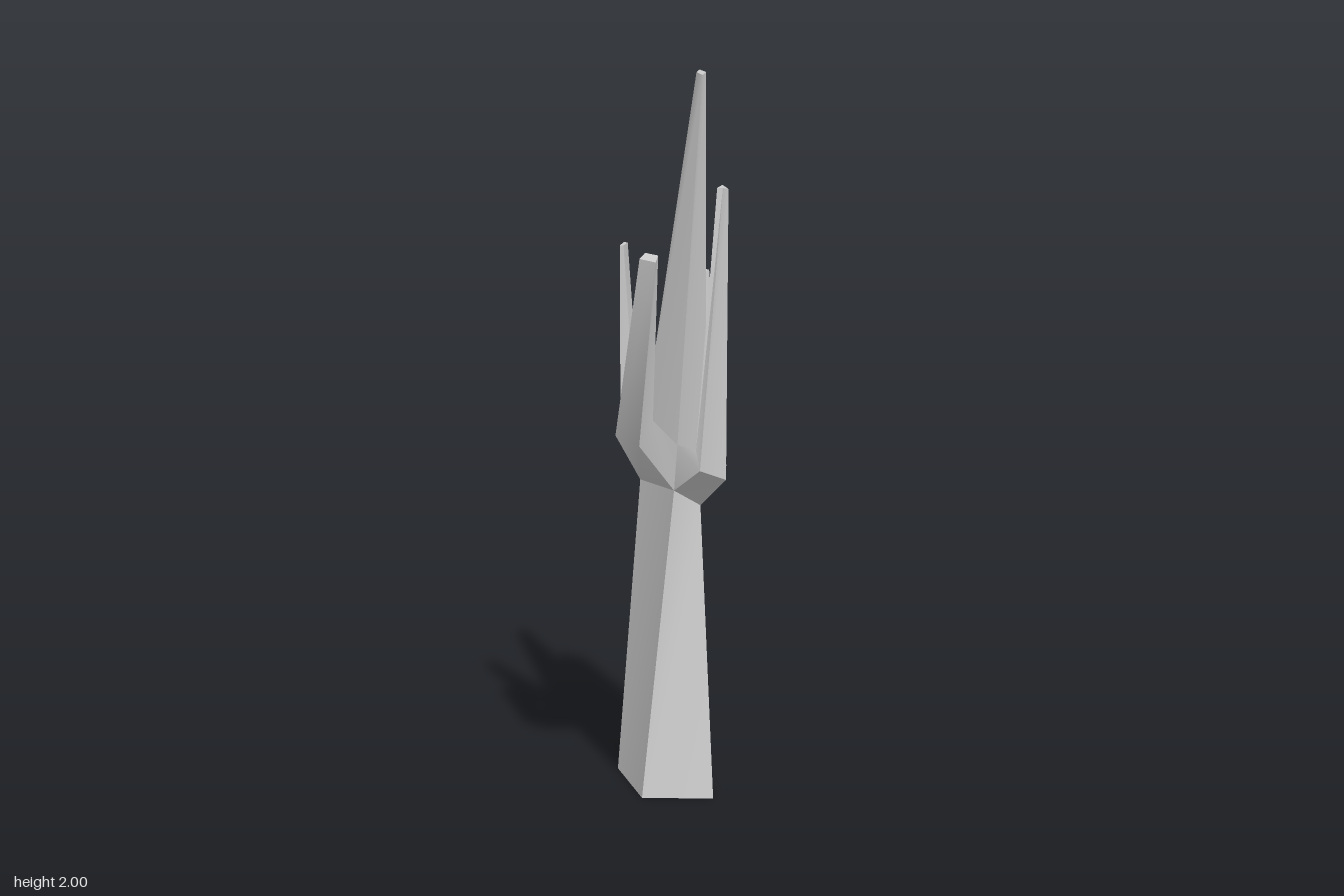
import * as THREE from 'three';
import { toCreasedNormals } from 'three/addons/utils/BufferGeometryUtils.js';

// Joint corners shared by trunk, arms and spire: lower ring and upper ring
const low = {
  right: [0.08, 0.79, 0.035], back: [0.09, 0.8, -0.12],
  left: [-0.07, 0.845, -0.06], front: [0, 0.845, 0.075],
};
const up = {
  right: [0.1, 0.9, 0.01], back: [0.035, 0.96, -0.125],
  left: [-0.06, 1.03, -0.04], front: [0.005, 0.98, 0.1],
};

// Skin a run of four-cornered sections, optionally closing the far end
function loft(name, sections, cap = true) {
  const index = [];
  for (let s = 0; s < sections.length - 1; s++) {
    for (let i = 0; i < 4; i++) {
      const a = s * 4 + i, b = s * 4 + (i + 1) % 4;
      index.push(a, b, b + 4, a, b + 4, a + 4);
    }
  }
  if (cap) {
    const e = (sections.length - 1) * 4;
    index.push(e, e + 1, e + 2, e, e + 2, e + 3);
  }
  const geo = new THREE.BufferGeometry();
  geo.setAttribute('position', new THREE.Float32BufferAttribute(sections.flat(2), 3));
  geo.setIndex(index);
  const mat = new THREE.MeshStandardMaterial({ color: 0xcccccc, side: THREE.DoubleSide });
  const mesh = new THREE.Mesh(toCreasedNormals(geo, 0.85), mat);
  mesh.name = name;
  return mesh;
}

// An arm leaves the joint between corners a and b, bends at the elbow, ends at the tip
const arm = (name, a, b, elbow, tip) =>
  loft(name, [[low[a], low[b], up[b], up[a]], elbow, tip]);

export function createModel() {
  const group = new THREE.Group();
  group.name = 'bareTree';

  // Tapered trunk, open underneath
  group.add(loft('trunk', [
    [[0.09, 0, 0.18], [0.12, 0, -0.145], [-0.11, 0, -0.185], [-0.1, 0, 0.14]],
    [low.right, low.back, low.left, low.front],
  ], false));

  // Tall central spire
  group.add(loft('spire', [
    [up.right, up.back, up.left, up.front],
    [[0.103, 2, -0.005], [0.09, 2, -0.035], [0.077, 2, -0.01], [0.087, 2, 0.025]],
  ]));

  // Four side arms
  group.add(arm('frontRightArm', 'left', 'front',
    [[-0.17, 1.02, 0.12], [-0.12, 1.01, 0.21], [-0.075, 1.07, 0.17], [-0.13, 1.08, 0.08]],
    [[-0.12, 1.54, 0.215], [-0.083, 1.54, 0.26], [-0.07, 1.55, 0.225], [-0.1, 1.55, 0.19]]));
  group.add(arm('frontLeftArm', 'front', 'right',
    [[0.05, 0.93, 0.2], [0.13, 0.89, 0.155], [0.12, 0.96, 0.09], [0.045, 0.98, 0.165]],
    [[0.13, 1.7, 0.105], [0.15, 1.69, 0.08], [0.135, 1.7, 0.07], [0.115, 1.7, 0.1]]));
  group.add(arm('backLeftArm', 'right', 'back',
    [[0.17, 0.87, -0.07], [0.12, 0.87, -0.21], [0.07, 1.0, -0.17], [0.13, 0.97, -0.05]],
    [[0.145, 1.39, -0.2], [0.1, 1.39, -0.26], [0.073, 1.39, -0.22], [0.115, 1.39, -0.17]]));
  group.add(arm('backRightArm', 'back', 'left',
    [[-0.07, 1.0, -0.21], [-0.115, 0.96, -0.115], [-0.08, 1.07, -0.11], [-0.055, 1.07, -0.18]],
    [[-0.105, 1.5, -0.12], [-0.122, 1.5, -0.087], [-0.112, 1.5, -0.085], [-0.095, 1.5, -0.115]]));

  return group;
}
